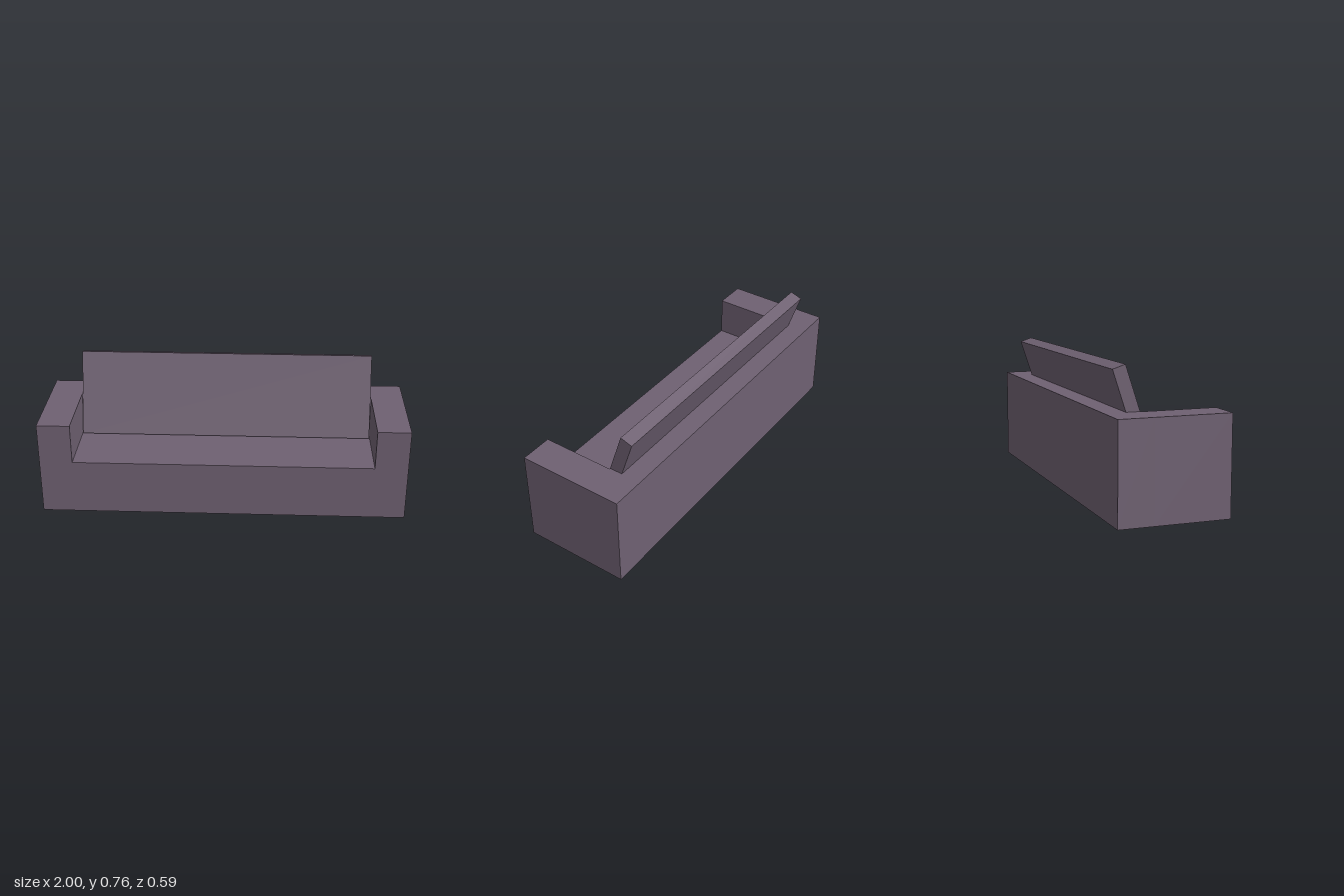
import * as THREE from 'three';

export function createModel() {
  const sofa = new THREE.Group();
  sofa.name = 'sofa';
  const fabric = new THREE.MeshStandardMaterial({ color: 0x6f6172, flatShading: true });

  const halfWidth = 1, innerHalf = 0.82, armTop = 0.525, seatTop = 0.305;
  const front = 0.295, back = -0.295, nicheBack = -0.11;

  const add = (name, geometry, x, y, z) => {
    const mesh = new THREE.Mesh(geometry, fabric);
    mesh.name = name;
    mesh.position.set(x, y, z);
    sofa.add(mesh);
    return mesh;
  };

  // Seat and both arms: one U-shaped block
  const outline = new THREE.Shape([
    [-halfWidth, 0], [halfWidth, 0], [halfWidth, armTop], [innerHalf, armTop],
    [innerHalf, seatTop], [-innerHalf, seatTop], [-innerHalf, armTop], [-halfWidth, armTop],
  ].map(([x, y]) => new THREE.Vector2(x, y)));
  const depth = front - nicheBack;
  add('seatAndArms', new THREE.ExtrudeGeometry(outline, { depth, bevelEnabled: false }), 0, 0, nicheBack);

  // Solid back wall, level with the arms
  const wall = nicheBack - back;
  add('backWall', new THREE.BoxGeometry(2 * halfWidth, armTop, wall), 0, armTop / 2, back + wall / 2);

  // Reclined backrest cushion, sunk into the back wall
  const cushion = add('backCushion', new THREE.BoxGeometry(1.63, 0.469, 0.07), 0, 0.524, -0.146);
  cushion.rotation.x = -0.318;

  return sofa;
}
